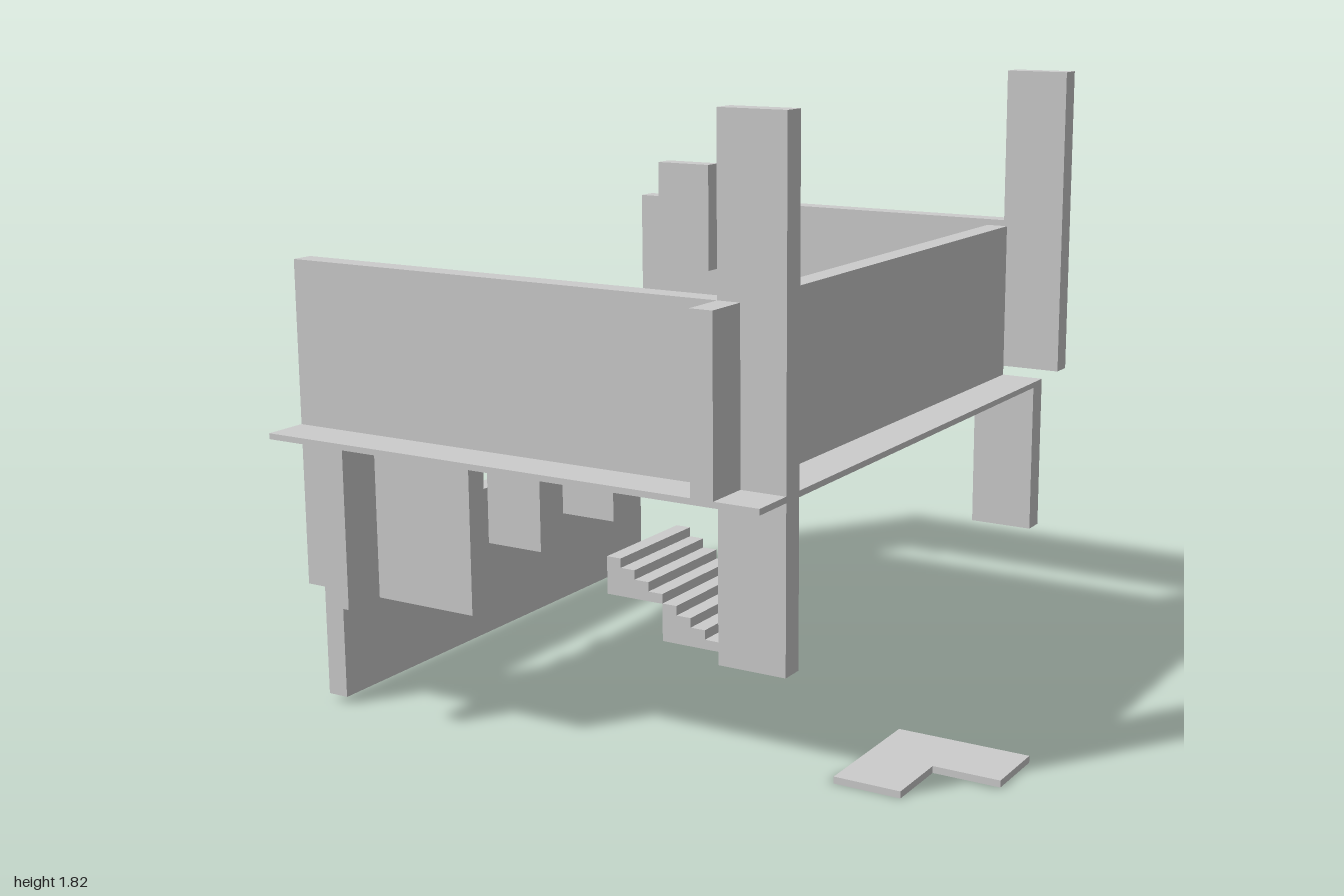
import * as THREE from 'three';

const T = 0.067; // wall thickness

export function createModel() {
  const model = new THREE.Group();
  const material = new THREE.MeshStandardMaterial({ color: 0xcccccc, flatShading: true });

  const add = (name, geometry) => {
    const mesh = new THREE.Mesh(geometry, material);
    mesh.name = name;
    model.add(mesh);
    return mesh;
  };

  // Box given by its limits on each axis
  const block = (name, [x0, x1], [y0, y1], [z0, z1]) =>
    add(name, new THREE.BoxGeometry(x1 - x0, y1 - y0, z1 - z0))
      .position.set((x0 + x1) / 2, (y0 + y1) / 2, (z0 + z1) / 2);

  // Outline in x and y, extruded from z0 to z1
  const panel = (name, outline, z0, z1) => {
    const shape = new THREE.Shape(outline.map(([x, y]) => new THREE.Vector2(x, y)));
    const geometry = new THREE.ExtrudeGeometry(shape, { depth: z1 - z0, bevelEnabled: false });
    return add(name, geometry.translate(0, 0, z0));
  };

  const lower = [0.383, 0.85];
  const top = 1.342, floor = 0.862, base = lower[0], tower = 1.822;

  // Upper floor
  block('floorSlab', [-1, 0.6], [0.845, floor], [-0.8, 1]);

  // Front and back walls, each with a tall pier
  panel('frontWall', [
    [-1, base], [-0.4, base], [-0.4, floor], [0.4, floor], [0.4, base], [0.6, base],
    [0.6, tower], [0.4, tower], [0.4, top], [-1, top],
  ], 0.8, 0.8 + T);
  panel('backWall', [
    [-1, base], [-0.6, base], [-0.6, floor], [0.6, floor],
    [0.6, tower], [0.4, tower], [0.4, top], [-1, top],
  ], -1, -1 + T);

  // Side wall on the upper floor and the low wall at the other side
  block('sideWall', [0.4, 0.4 + T], [floor, top], [-0.8, 1]);
  block('lowWall', [-1, -1 + T], [0.022, 0.505], [-0.8, 0.8]);

  // Lower-floor walls running front to back
  block('lowerFrontWall', [-0.8, -0.8 + T], lower, [0.4, 1]);
  block('lowerBackWall', [-0.8, -0.8 + T], lower, [-0.8, -0.2 + T]);

  // Short walls beside the doorway
  for (const z of [0.2, -0.2]) block('doorWall', [-0.8, -0.6], lower, [z, z + T]);

  // Posts under the back edge and the raised block above it
  for (const x of [0.4, -0.6]) block('backPost', [x, x + 0.2], lower, [-0.8, -0.8 + T]);
  block('raisedBlock', [-0.8, -0.6], [1.125, 1.487], [-0.8, -0.8 + T]);

  // Stairs: eight steps on a stepped base
  const bottom = 0.145, rise = (base - bottom) / 8, run = 0.05;
  const profile = [[-0.4, 0.263], [-0.2, 0.263], [-0.2, bottom], [0, bottom]];
  for (let i = 0; i < 8; i++) {
    const y = bottom + (i + 1) * rise;
    profile.push([-i * run, y], [-(i + 1) * run, y]);
  }
  panel('stairs', profile, -0.2, 0.2);

  // L-shaped paving on the ground
  const paving = panel('paving', [
    [0.6, -0.6], [0.8, -0.6], [0.8, -0.4], [1, -0.4], [1, -0.2], [0.6, -0.2],
  ], 0, 0.02);
  paving.rotation.x = -Math.PI / 2;

  return model;
}
